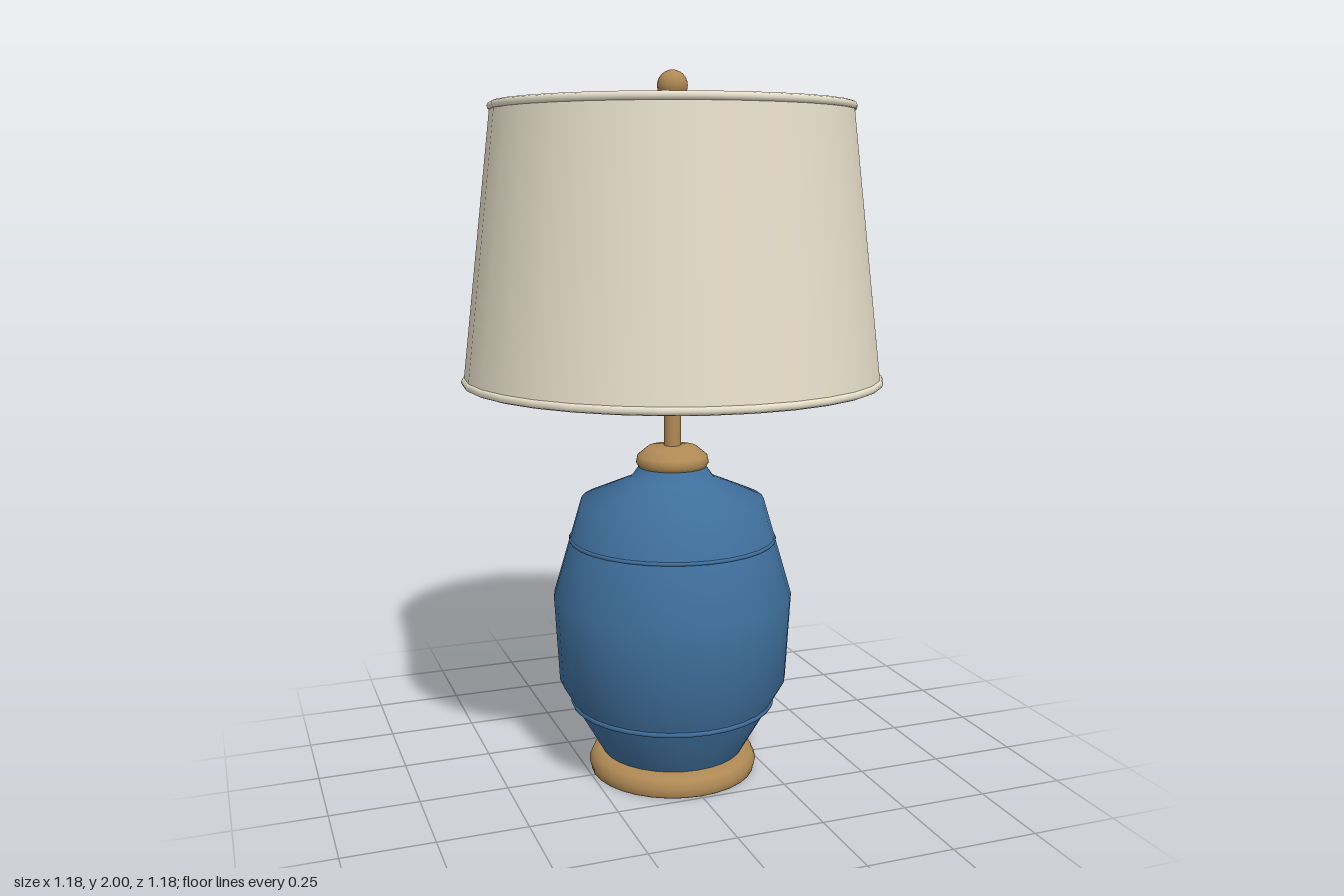
import * as THREE from 'three';

const SEGMENTS = 32;

export function createModel() {
  const lamp = new THREE.Group();
  lamp.name = 'tableLamp';

  const glaze = new THREE.MeshStandardMaterial({ color: 0x3f6f9c });
  const brass = new THREE.MeshStandardMaterial({ color: 0xb08a55 });
  const linen = new THREE.MeshStandardMaterial({ color: 0xe8dfca, side: THREE.DoubleSide });
  const glass = new THREE.MeshStandardMaterial({ color: 0xf0e6cc });

  const add = (name, geometry, material, y = 0) => {
    const mesh = new THREE.Mesh(geometry, material);
    mesh.name = name;
    mesh.position.y = y;
    lamp.add(mesh);
    return mesh;
  };
  // profile points run from bottom to top as [radius, height]
  const lathe = (points, segments = SEGMENTS) =>
    new THREE.LatheGeometry(points.map(([r, y]) => new THREE.Vector2(r, y)), segments);
  const ring = (name, radius, tube, y, material) =>
    add(name, new THREE.TorusGeometry(radius, tube, 8, SEGMENTS), material, y).rotateX(Math.PI / 2);

  // Rounded brass foot
  add('foot', lathe([
    [0, 0], [0.24, 0], [0.24, 0.005], [0.246, 0.025], [0.235, 0.05], [0.21, 0.064], [0, 0.064],
  ]), brass);

  // Ceramic body with two thin raised bands
  add('body', lathe([
    [0.205, 0.06], [0.33, 0.28], [0.344, 0.53], [0.262, 0.81], [0.12, 0.87], [0.095, 0.905],
  ]), glaze);
  ring('lowerBand', 0.289, 0.009, 0.21, glaze);
  ring('upperBand', 0.293, 0.006, 0.695, glaze);

  // Neck cap, stem and the fitting under the shade
  add('neckCap', lathe([
    [0, 0.9], [0.095, 0.9], [0.104, 0.915], [0.1, 0.935], [0.07, 0.96], [0, 0.966],
  ]), brass);
  add('stem', new THREE.CylinderGeometry(0.024, 0.024, 0.24, 10), brass, 1.07);
  add('socketFlange', new THREE.CylinderGeometry(0.05, 0.05, 0.02, 16), brass, 1.165);
  add('socket', new THREE.CylinderGeometry(0.045, 0.05, 0.13, 16), brass, 1.235);
  add('bulb', new THREE.SphereGeometry(0.1, 14, 10), glass, 1.38);

  // Tapered shade, rolled rims and the panel closing its lower end
  add('shadeWall', lathe([[0.583, 1.155], [0.494, 1.905]]), linen);
  add('shadeLining', lathe([[0.57, 1.155], [0.481, 1.905]]), linen);
  add('shadeFloor', lathe([[0.57, 1.155], [0.57, 1.172], [0, 1.172]]), linen);
  ring('shadeLowerRim', 0.578, 0.012, 1.158, linen);
  ring('shadeUpperRim', 0.49, 0.012, 1.9, linen);

  // Harp: one wire bow, mirrored about the stem
  const half = [[0.05, 1.18], [0.12, 1.24], [0.172, 1.4], [0.172, 1.62], [0.12, 1.79], [0.06, 1.905]];
  const bow = [
    ...half.map(([x, y]) => new THREE.Vector3(-x, y, 0)),
    new THREE.Vector3(0, 1.93, 0),
    ...half.map(([x, y]) => new THREE.Vector3(x, y, 0)).reverse(),
  ];
  add('harp', new THREE.TubeGeometry(new THREE.CatmullRomCurve3(bow), 64, 0.008, 8), brass);

  // Finial ball
  add('finial', new THREE.SphereGeometry(0.042, 16, 12), brass, 1.958);

  return lamp;
}
